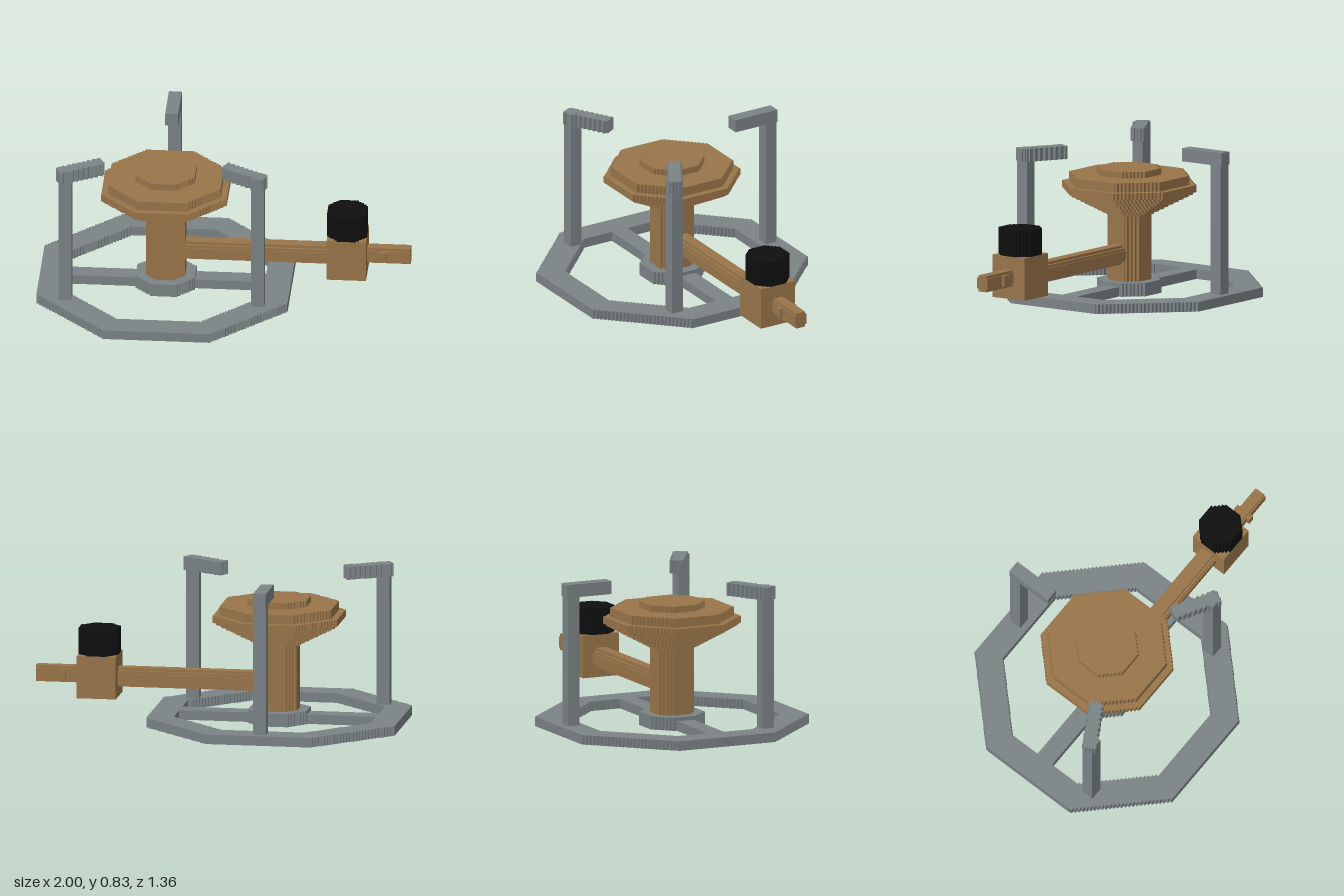
import * as THREE from 'three';

const STEP = 0.0147; // size of one stair step
const CX = -0.322;   // axis of the stand

const grey = new THREE.MeshStandardMaterial({ color: 0x7b8386 });
grey.name = 'steel grey';
const brown = new THREE.MeshStandardMaterial({ color: 0x99754a });
brown.name = 'bronze brown';
const black = new THREE.MeshStandardMaterial({ color: 0x0f0f0f });
black.name = 'black';

// Stair-stepped outline of a convex polygon given as [x, y] corners
function stepped(corners, step = STEP) {
  const ys = corners.map((p) => p[1]);
  const y0 = Math.min(...ys);
  const height = Math.max(...ys) - y0;
  const n = Math.max(1, Math.round(height / step));
  const right = [], left = [];
  for (let i = 0; i < n; i++) {
    const y = y0 + (height * (i + 0.5)) / n;
    const xs = [];
    corners.forEach((a, k) => {
      const b = corners[(k + 1) % corners.length];
      if ((a[1] - y) * (b[1] - y) < 0) xs.push(a[0] + ((b[0] - a[0]) * (y - a[1])) / (b[1] - a[1]));
    });
    const lo = y0 + (height * i) / n, hi = y0 + (height * (i + 1)) / n;
    const x1 = Math.max(...xs), x2 = Math.min(...xs);
    right.push(new THREE.Vector2(x1, lo), new THREE.Vector2(x1, hi));
    left.push(new THREE.Vector2(x2, lo), new THREE.Vector2(x2, hi));
  }
  return right.concat(left.reverse());
}

// Corners of an octagon with half width r and half flat length c
function octagon(r, c = r * 0.42, ry = r) {
  const cy = ry - (r - c);
  return [[r, -cy], [r, cy], [c, ry], [-c, ry], [-r, cy], [-r, -cy], [-c, -ry], [c, -ry]];
}

function extrude(outline, depth, hole) {
  const shape = new THREE.Shape(outline);
  if (hole) shape.holes.push(new THREE.Path(hole));
  return new THREE.ExtrudeGeometry(shape, { depth, bevelEnabled: false, curveSegments: 1 });
}

export function createModel() {
  const model = new THREE.Group();
  model.name = 'valveStand';

  const add = (name, geometry, material, x = 0, y = 0, z = 0) => {
    const mesh = new THREE.Mesh(geometry, material);
    mesh.name = name;
    mesh.position.set(x, y, z);
    model.add(mesh);
    return mesh;
  };
  // Upright prism from y0 to y1
  const prism = (name, outline, y0, y1, material, x = CX, hole) =>
    add(name, extrude(outline, y1 - y0, hole).rotateX(-Math.PI / 2), material, x, y0);
  // Prism lying along x, from x0 to x1
  const rod = (name, outline, x0, x1, y, material) =>
    add(name, extrude(outline, x1 - x0).rotateY(Math.PI / 2), material, x0, y);
  const box = (name, x0, x1, y0, y1, z0, z1, material) =>
    add(name, new THREE.BoxGeometry(x1 - x0, y1 - y0, z1 - z0), material,
      (x0 + x1) / 2, (y0 + y1) / 2, (z0 + z1) / 2);

  // Base ring, cross bar and hub
  prism('baseRing', stepped(octagon(0.678, 0.285)), 0, 0.052, grey, CX, stepped(octagon(0.537, 0.225)));
  box('baseBar', CX - 0.54, CX + 0.54, 0, 0.052, -0.05, 0.05, grey);
  prism('hub', stepped(octagon(0.16)), 0, 0.072, grey);

  // Three posts, each with a finger pointing at the axis
  for (const [px, pz, angle] of [[0, -0.605, -90], [0.52, 0.307, 30], [-0.52, 0.307, 150]]) {
    box('post', CX + px - 0.035, CX + px + 0.035, 0.05, 0.825, pz - 0.034, pz + 0.034, grey);
    const a = THREE.MathUtils.degToRad(angle);
    const finger = [[0.38, -0.035], [0.645, -0.035], [0.645, 0.035], [0.38, 0.035]].map(([r, w]) => [
      r * Math.cos(a) - w * Math.sin(a),
      -(r * Math.sin(a) + w * Math.cos(a)),
    ]);
    prism('finger', stepped(finger), 0.755, 0.826, grey);
  }

  // Column and the flaring dish on top of it
  prism('column', stepped(octagon(0.106, 0.048)), 0.072, 0.44, brown);
  const layers = 9;
  for (let i = 0; i < layers; i++) {
    const y = 0.43 + (i * 0.127) / layers;
    prism('dishLayer', stepped(octagon(0.122 + (i * 0.2) / (layers - 1))), y, y + 0.127 / layers, brown);
  }
  prism('dishRim', stepped(octagon(0.339)), 0.557, 0.595, brown);
  prism('dishTop', stepped(octagon(0.304)), 0.595, 0.645, brown);
  prism('dishCap', stepped(octagon(0.16)), 0.645, 0.68, brown);

  // Side pipe, valve block with black knob, and outlet
  rod('pipe', stepped(octagon(0.052, 0.023)), CX + 0.09, 0.555, 0.219, brown);
  box('valveBlock', 0.552, 0.765, 0.11, 0.342, -0.107, 0.107, brown);
  prism('knob', stepped(octagon(0.107, 0.046)), 0.342, 0.485, black, 0.658);
  rod('outlet', stepped(octagon(0.035, 0.02, 0.044)), 0.765, 1, 0.225, brown);
  box('outletCollar', 0.838, 0.87, 0.197, 0.253, -0.053, 0.053, brown);

  return model;
}
